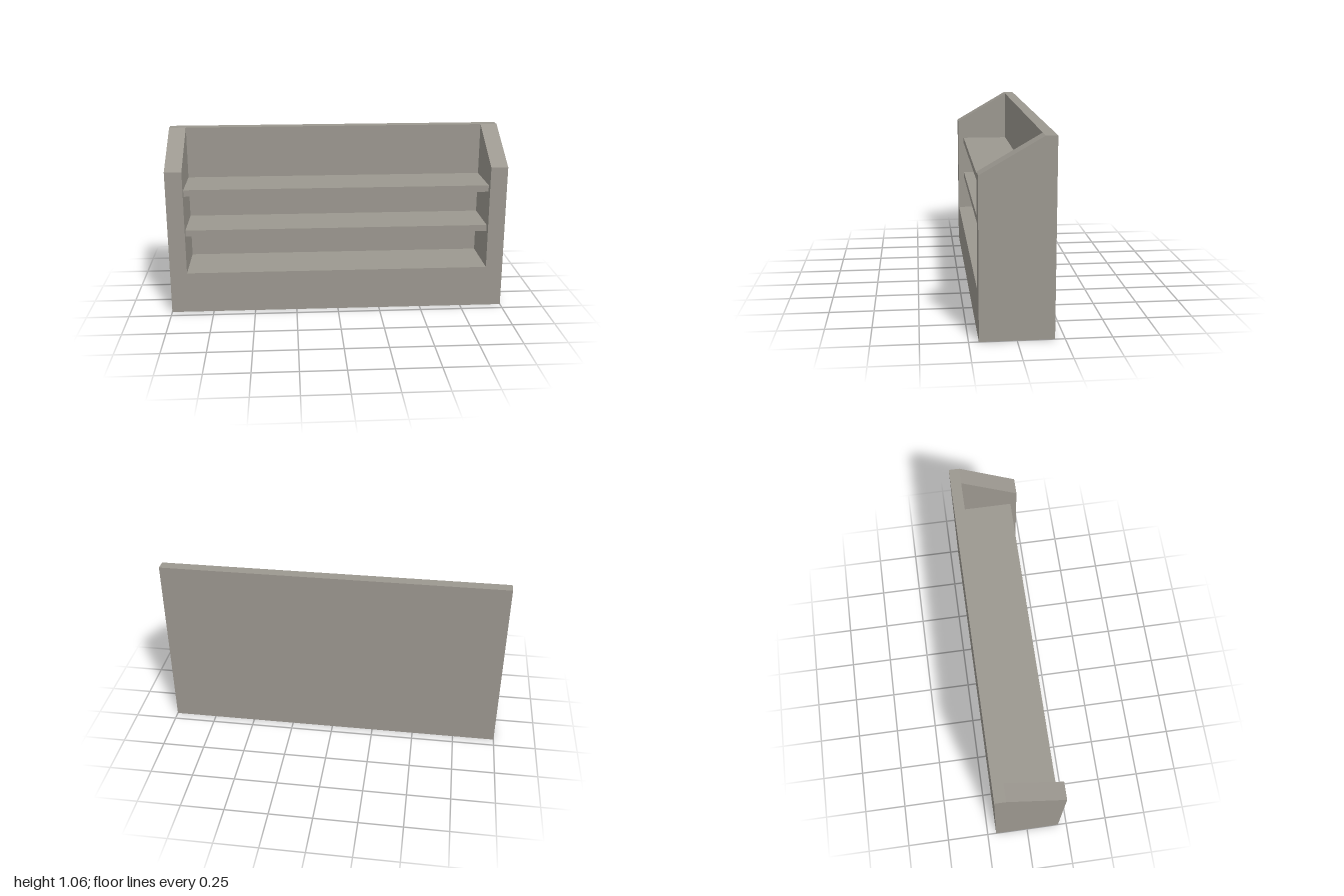
import * as THREE from 'three';

const HALF_W = 1, SIDE_T = 0.1, HEIGHT = 1.06;
const FRONT = 0.197, BACK = -0.197, BACK_INNER = -0.135;
const INNER_W = 2 * (HALF_W - SIDE_T);

export function createModel() {
  const group = new THREE.Group();
  group.name = 'shelfUnit';
  const grey = new THREE.MeshStandardMaterial({ color: 0x9c9890 });
  grey.name = 'warm grey';

  // Board spanning the space between the side panels
  const board = (name, y0, y1, z0, z1) => {
    const mesh = new THREE.Mesh(new THREE.BoxGeometry(INNER_W, y1 - y0, z1 - z0), grey);
    mesh.position.set(0, (y0 + y1) / 2, (z0 + z1) / 2);
    mesh.name = name;
    group.add(mesh);
  };

  board('backPanel', 0, HEIGHT, BACK, BACK_INNER);
  board('base', 0, 0.247, BACK_INNER, FRONT);
  board('lowerShelf', 0.465, 0.503, BACK_INNER, 0.16);
  board('upperShelf', 0.711, 0.75, BACK_INNER, 0.16);

  // Side panels: profile with a sloped top, drawn in (-z, y) and extruded along x
  const profile = new THREE.Shape([
    [-FRONT, 0], [-BACK, 0], [-BACK, HEIGHT], [-BACK_INNER, HEIGHT], [-FRONT, 0.868],
  ].map(([u, y]) => new THREE.Vector2(u, y)));
  const sideGeometry = new THREE.ExtrudeGeometry(profile, { depth: SIDE_T, bevelEnabled: false });
  sideGeometry.rotateY(Math.PI / 2);

  for (const [name, x] of [['leftSide', HALF_W - SIDE_T], ['rightSide', -HALF_W]]) {
    const side = new THREE.Mesh(sideGeometry, grey);
    side.position.x = x;
    side.name = name;
    group.add(side);
  }
  return group;
}
